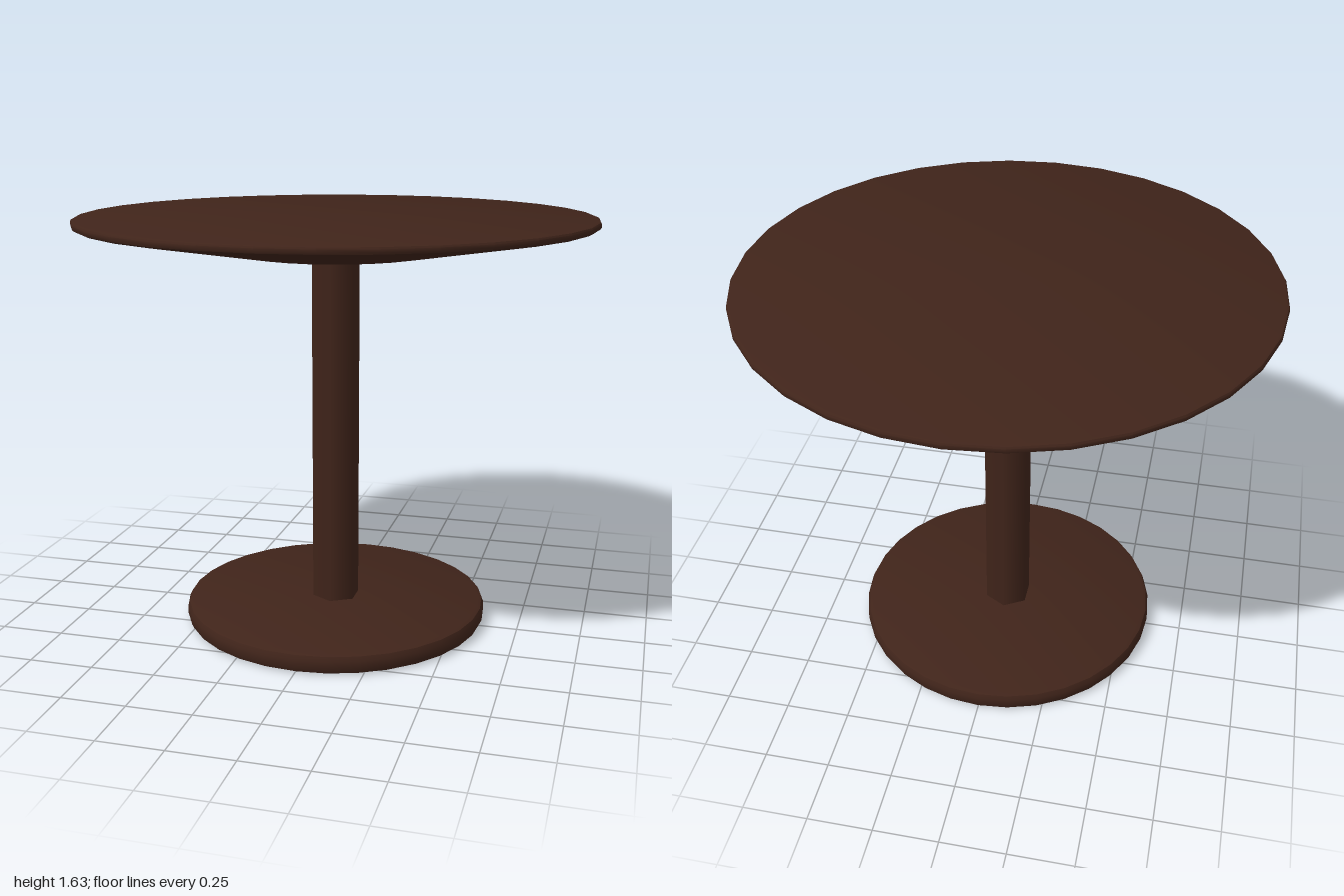
import * as THREE from 'three';
import { toCreasedNormals } from 'three/addons/utils/BufferGeometryUtils.js';

export function createModel() {
  const model = new THREE.Group();
  model.name = 'pedestalTable';
  const wood = new THREE.MeshStandardMaterial({ color: 0x40241a });

  const add = (name, geometry) => {
    const mesh = new THREE.Mesh(geometry, wood);
    mesh.name = name;
    model.add(mesh);
    return mesh;
  };

  // Turned part from a profile of [radius, height], bottom to top
  const turned = (profile) => toCreasedNormals(
    new THREE.LatheGeometry(profile.map(([r, y]) => new THREE.Vector2(r, y)), 32), 0.6);

  // Round base with softened edges
  add('base', turned([
    [0, 0], [0.585, 0], [0.6, 0.008], [0.608, 0.025],
    [0.608, 0.056], [0.6, 0.073], [0.585, 0.08], [0, 0.08],
  ]));

  // Six-sided column, shaded smooth, corners towards front and back
  add('column', new THREE.CylinderGeometry(0.096, 0.096, 1.42, 6)).position.y = 0.76;

  // Table top with a shallow tapered underside and a thin bevelled rim
  add('tableTop', turned([
    [0, 1.45], [0.08, 1.45], [0.4, 1.493], [0.985, 1.597], [0.997, 1.603],
    [1, 1.609], [1, 1.62], [0.996, 1.626], [0.988, 1.629], [0, 1.629],
  ]));

  return model;
}
